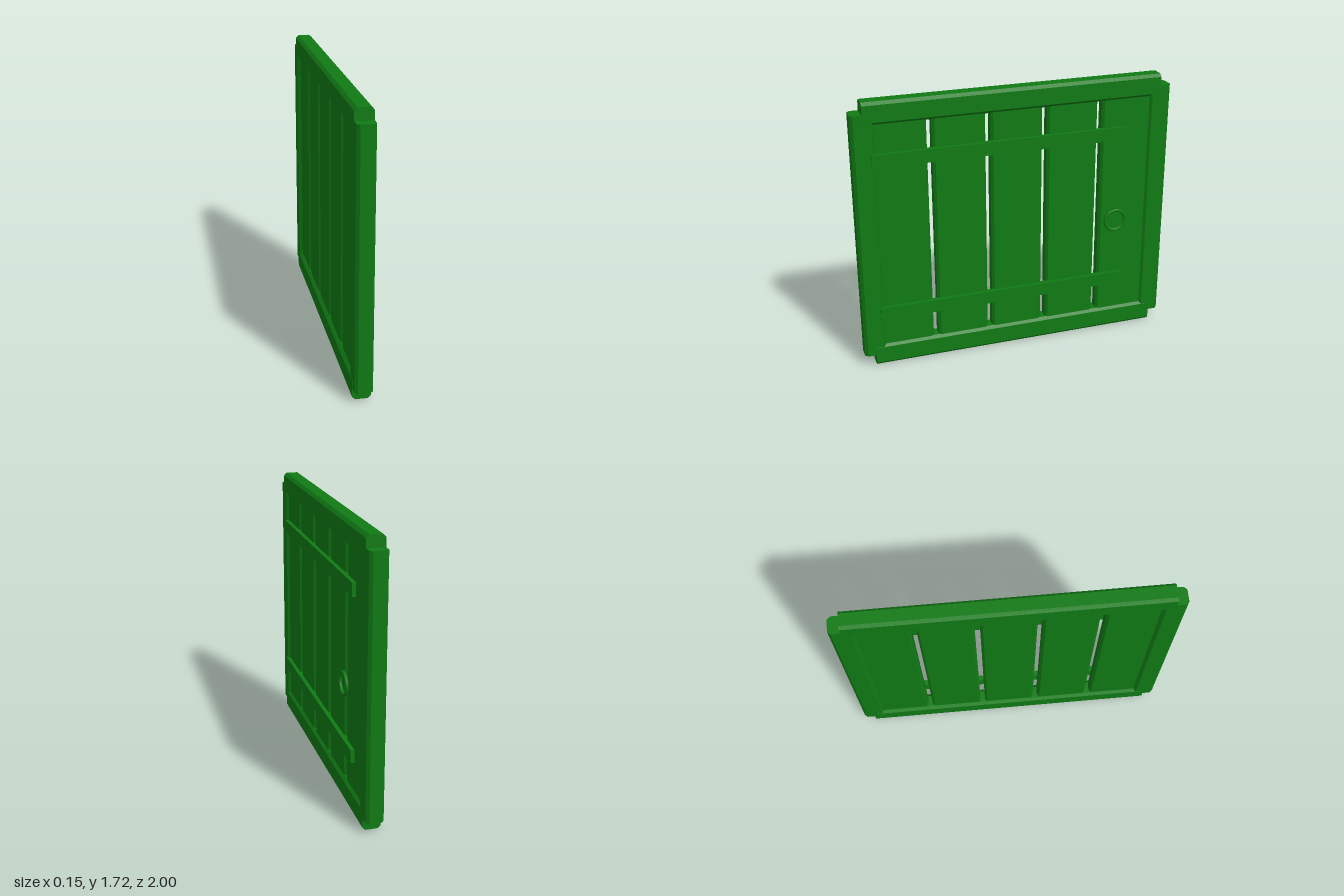
import * as THREE from 'three';

const green = new THREE.MeshStandardMaterial({ color: 0x107a14 });

// Beam with chamfered long edges: w across, d deep (x), len along its length
function beamGeometry(w, d, len, c) {
  const a = w / 2, b = d / 2;
  const shape = new THREE.Shape([
    [-a + c, -b], [a - c, -b], [a, -b + c], [a, b - c],
    [a - c, b], [-a + c, b], [-a, b - c], [-a, -b + c],
  ].map(([x, y]) => new THREE.Vector2(x, y)));
  const g = new THREE.ExtrudeGeometry(shape, { depth: len, bevelEnabled: false });
  return g.translate(0, 0, -len / 2);
}

export function createModel() {
  const gate = new THREE.Group();
  gate.name = 'gate';
  const add = (name, geometry, x, y, z) => {
    const mesh = new THREE.Mesh(geometry, green);
    mesh.name = name;
    mesh.position.set(x, y, z);
    gate.add(mesh);
    return mesh;
  };

  // Upright beams run along y, level beams along z
  const upright = (name, w, d, len, c, x, y, z) =>
    add(name, beamGeometry(w, d, len, c).rotateX(-Math.PI / 2).rotateY(Math.PI / 2), x, y, z);
  const level = (name, h, d, len, c, x, y, z) =>
    add(name, beamGeometry(d, h, len, c), x, y, z);

  // Outer frame
  for (const s of [1, -1]) upright(s > 0 ? 'frontStile' : 'backStile', 0.14, 0.108, 1.57, 0.018, -0.022, 0.858, 0.93 * s);
  level('bottomRail', 0.14, 0.11, 1.86, 0.018, -0.022, 0.07, 0);
  level('topRail', 0.14, 0.11, 1.86, 0.018, -0.022, 1.645, 0);

  // Five planks with narrow gaps
  for (let i = 0; i < 5; i++)
    upright('plank' + (i + 1), 0.327, 0.075, 1.52, 0.015, -0.02, 0.858, 0.716 - i * 0.358);

  // Cross straps on the outer side
  for (const y of [0.36, 1.36])
    add(y < 1 ? 'lowerStrap' : 'upperStrap', new THREE.BoxGeometry(0.035, 0.082, 1.605), 0.0245, y, 0.0875);

  // Ring handle
  add('ringHandle', new THREE.TorusGeometry(0.068, 0.01, 8, 12).rotateY(Math.PI / 2), 0.065, 0.79, -0.643);

  return gate;
}
